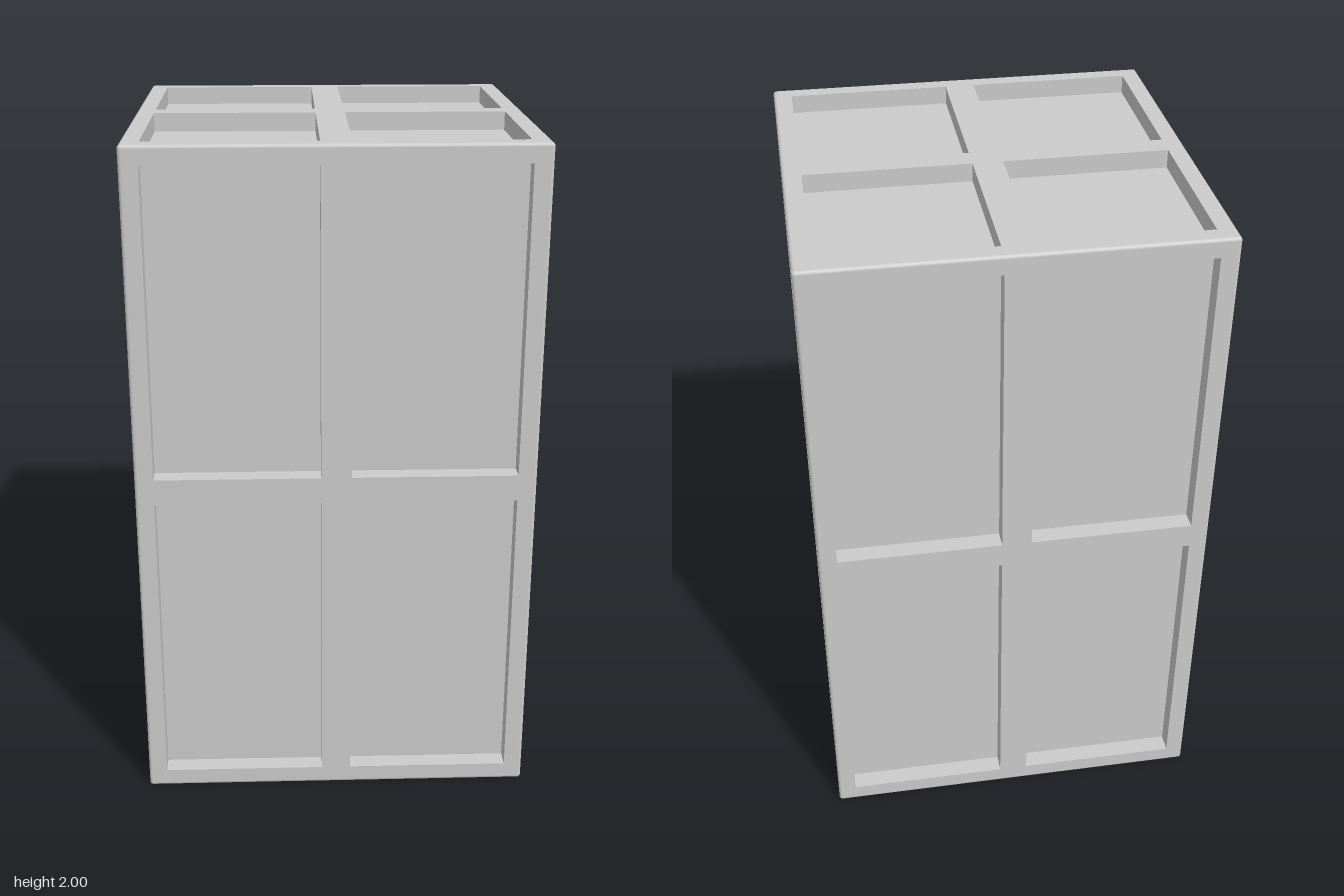
import * as THREE from 'three';

const X = 0.583, Y = 1, Z = 0.583;             // half sizes of the crate
const RIM = 0.055;                             // rim width and recess depth
const R = 0.01;                                // rounding of the outer edges
const BAR = { x: 0.044, y: 0.039, z: 0.036 };  // half widths of the middle bars

const rect = (path, x0, y0, x1, y1) => {
  path.moveTo(x0, y0);
  path.lineTo(x1, y0);
  path.lineTo(x1, y1);
  path.lineTo(x0, y1);
  path.closePath();
  return path;
};

// Lattice slab with four openings; its outer face lies at distance d
function faceFrame(w, h, barU, barV, d) {
  const shape = rect(new THREE.Shape(), -w + R, -h + R, w - R, h - R);
  for (const [u0, u1] of [[-w + RIM, -barU], [barU, w - RIM]]) {
    for (const [v0, v1] of [[-h + RIM, -barV], [barV, h - RIM]]) {
      shape.holes.push(rect(new THREE.Path(), u0, v0, u1, v1));
    }
  }
  const geometry = new THREE.ExtrudeGeometry(shape, { depth: RIM, bevelEnabled: false });
  return geometry.translate(0, 0, d - RIM);
}

export function createModel() {
  const group = new THREE.Group();
  const material = new THREE.MeshStandardMaterial({ color: 0xcccccc });
  const add = (name, geometry, x = 0, y = 0, z = 0) => {
    const mesh = new THREE.Mesh(geometry, material);
    mesh.name = name;
    mesh.position.set(x, Y + y, z);
    group.add(mesh);
    return mesh;
  };

  // Recessed panels are the faces of one inner box
  add('recessedPanels', new THREE.BoxGeometry(2 * (X - RIM), 2 * (Y - RIM), 2 * (Z - RIM)));

  // Six lattice frames
  const front = faceFrame(X, Y, BAR.x, BAR.y, Z);
  const side = faceFrame(Z, Y, BAR.z, BAR.y, X);
  const top = faceFrame(X, Z, BAR.x, BAR.z, Y);
  add('frontFrame', front);
  add('backFrame', front).rotation.y = Math.PI;
  add('leftFrame', side).rotation.y = Math.PI / 2;
  add('rightFrame', side).rotation.y = -Math.PI / 2;
  add('topFrame', top).rotation.x = -Math.PI / 2;
  add('bottomFrame', top).rotation.x = Math.PI / 2;

  // Rounded outer edges and corners
  const [ex, ey, ez] = [X - R, Y - R, Z - R];
  const rod = (half) => new THREE.CylinderGeometry(R, R, 2 * half, 16, 1, true);
  const rodX = rod(ex).rotateZ(Math.PI / 2), rodY = rod(ey), rodZ = rod(ez).rotateX(Math.PI / 2);
  const ball = new THREE.SphereGeometry(R, 16, 8);
  for (const a of [-1, 1]) {
    for (const b of [-1, 1]) {
      add('edgeX', rodX, 0, a * ey, b * ez);
      add('edgeY', rodY, a * ex, 0, b * ez);
      add('edgeZ', rodZ, a * ex, b * ey, 0);
      for (const c of [-1, 1]) add('corner', ball, a * ex, b * ey, c * ez);
    }
  }
  return group;
}
